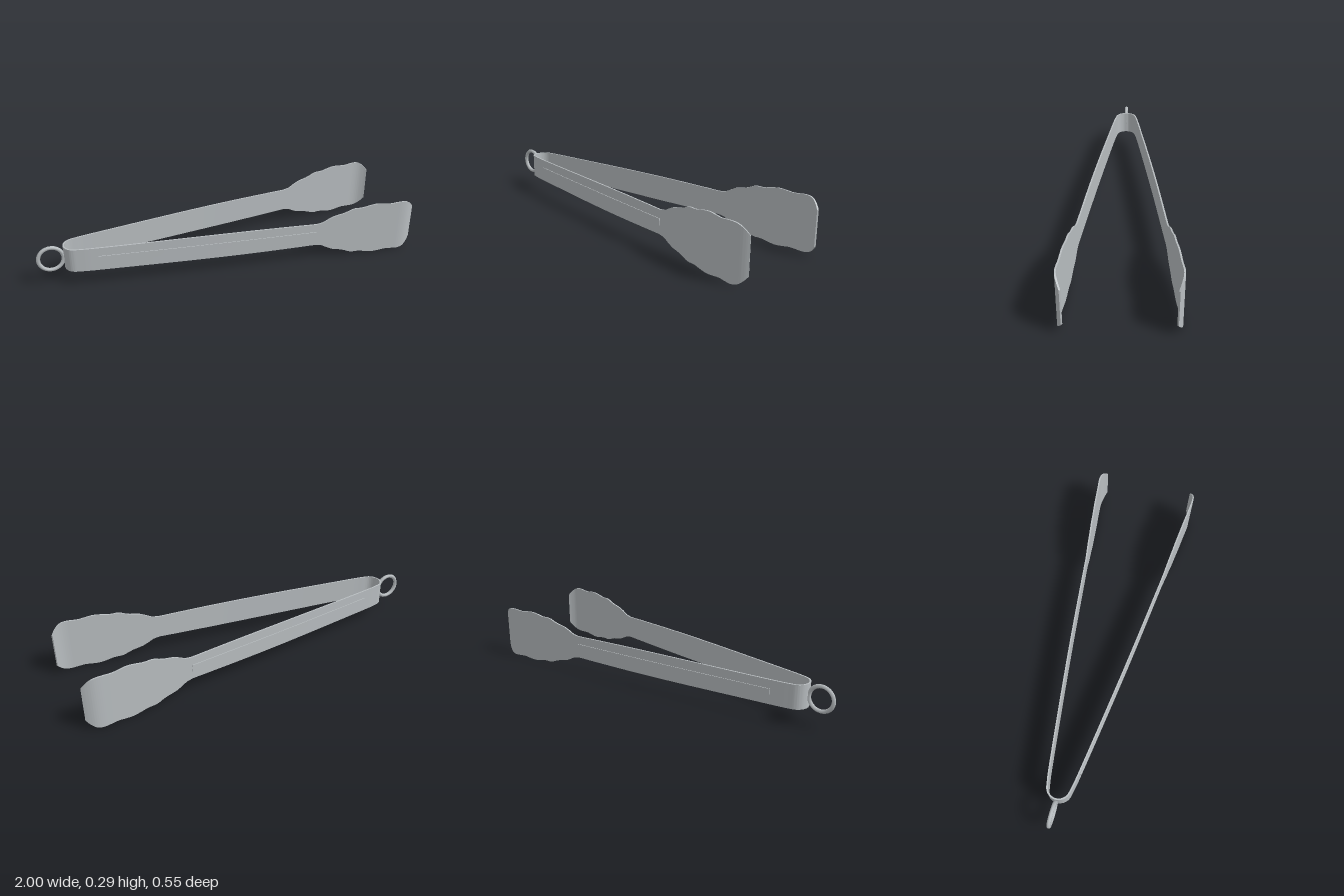
import * as THREE from 'three';
import { toCreasedNormals } from 'three/addons/utils/BufferGeometryUtils.js';

const MID = 0.146; // height of the centre line

// Half-arm bend seen from above: [x, z]
const bend = [[-0.858, 0], [-0.855, 0.018], [-0.845, 0.037], [-0.825, 0.053], [-0.79, 0.062], [-0.7, 0.077],
  [-0.35, 0.124], [0, 0.168], [0.44, 0.218], [0.7, 0.247], [0.88, 0.267], [0.925, 0.2705], [0.955, 0.267], [0.98, 0.257], [0.997, 0.247]];
// Half height along the arm: [x, half height], with a wavy gripping head
const outline = [[-0.86, 0.063], [-0.6, 0.064], [-0.2, 0.067], [0.1, 0.067], [0.35, 0.064], [0.455, 0.0635],
  [0.5, 0.083], [0.54, 0.101], [0.575, 0.107], [0.61, 0.118], [0.645, 0.132], [0.69, 0.132], [0.73, 0.14],
  [0.77, 0.146], [0.81, 0.143], [0.85, 0.138], [0.89, 0.141], [0.925, 0.142], [0.955, 0.134], [0.98, 0.113], [1, 0.087]];

// Linear lookup in a list of [x, value]
function sample(list, x) {
  for (let i = 1; i < list.length; i++) {
    const [x0, v0] = list[i - 1], [x1, v1] = list[i];
    if (x <= x1) return THREE.MathUtils.lerp(v0, v1, THREE.MathUtils.clamp((x - x0) / (x1 - x0), 0, 1));
  }
  return list[list.length - 1][1];
}

// Closed strip swept along points in the xz plane; halfHeight is a function of x
function strip(points, halfHeight, thickness) {
  const pos = [], idx = [], n = points.length;
  points.forEach((p, i) => {
    const a = points[Math.max(i - 1, 0)], b = points[Math.min(i + 1, n - 1)];
    const t = new THREE.Vector2(b.x - a.x, b.y - a.y).normalize().multiplyScalar(thickness / 2);
    const h = halfHeight(p.x);
    for (const [s, v] of [[1, -1], [1, 1], [-1, 1], [-1, -1]])
      pos.push(p.x - t.y * s, MID + v * h, p.y + t.x * s);
  });
  for (let i = 0; i < n - 1; i++)
    for (let k = 0; k < 4; k++) {
      const a = i * 4 + k, b = i * 4 + (k + 1) % 4, c = a + 4, d = b + 4;
      idx.push(a, c, d, a, d, b);
    }
  const e = (n - 1) * 4;
  idx.push(0, 1, 2, 0, 2, 3, e, e + 2, e + 1, e, e + 3, e + 2);
  const g = new THREE.BufferGeometry();
  g.setAttribute('position', new THREE.Float32BufferAttribute(pos, 3));
  g.setIndex(idx);
  return toCreasedNormals(g, 0.6);
}

export function createModel() {
  const group = new THREE.Group();
  const steel = new THREE.MeshStandardMaterial({ color: 0xb8bdc0 });
  steel.name = 'brushed steel';
  const add = (name, geometry) => {
    const mesh = new THREE.Mesh(geometry, steel);
    mesh.name = name;
    group.add(mesh);
    return mesh;
  };

  // One continuous band: back arm tip, round the spring bend, to the front arm tip
  const half = bend.map(([x, z]) => new THREE.Vector2(x, z));
  const mirrored = half.slice(1).reverse().map(p => new THREE.Vector2(p.x, -p.y));
  const curve = new THREE.SplineCurve([...mirrored, ...half]);
  const bandPoints = curve.getPoints(28 * 10);
  const halfHeights = new THREE.SplineCurve(outline.map(([x, h]) => new THREE.Vector2(x, h)))
    .getPoints(120).map(p => [p.x, p.y]);
  add('springBand', strip(bandPoints, x => sample(halfHeights, x), 0.008));

  // Raised stiffening rib on the outside of each arm
  for (const side of [1, -1]) {
    const ribPoints = [];
    for (let i = 0; i <= 16; i++) {
      const x = -0.7 + (1.14 * i) / 16;
      ribPoints.push(new THREE.Vector2(x, side * (sample(bend, x) + 0.004)));
    }
    add(side > 0 ? 'frontRib' : 'backRib', strip(ribPoints, () => 0.018, 0.008));
  }

  // Hanging ring through the bend
  const ring = add('hangingRing', new THREE.TorusGeometry(0.063, 0.0105, 6, 40));
  ring.position.set(-0.9265, MID + 0.001, 0);
  return group;
}
